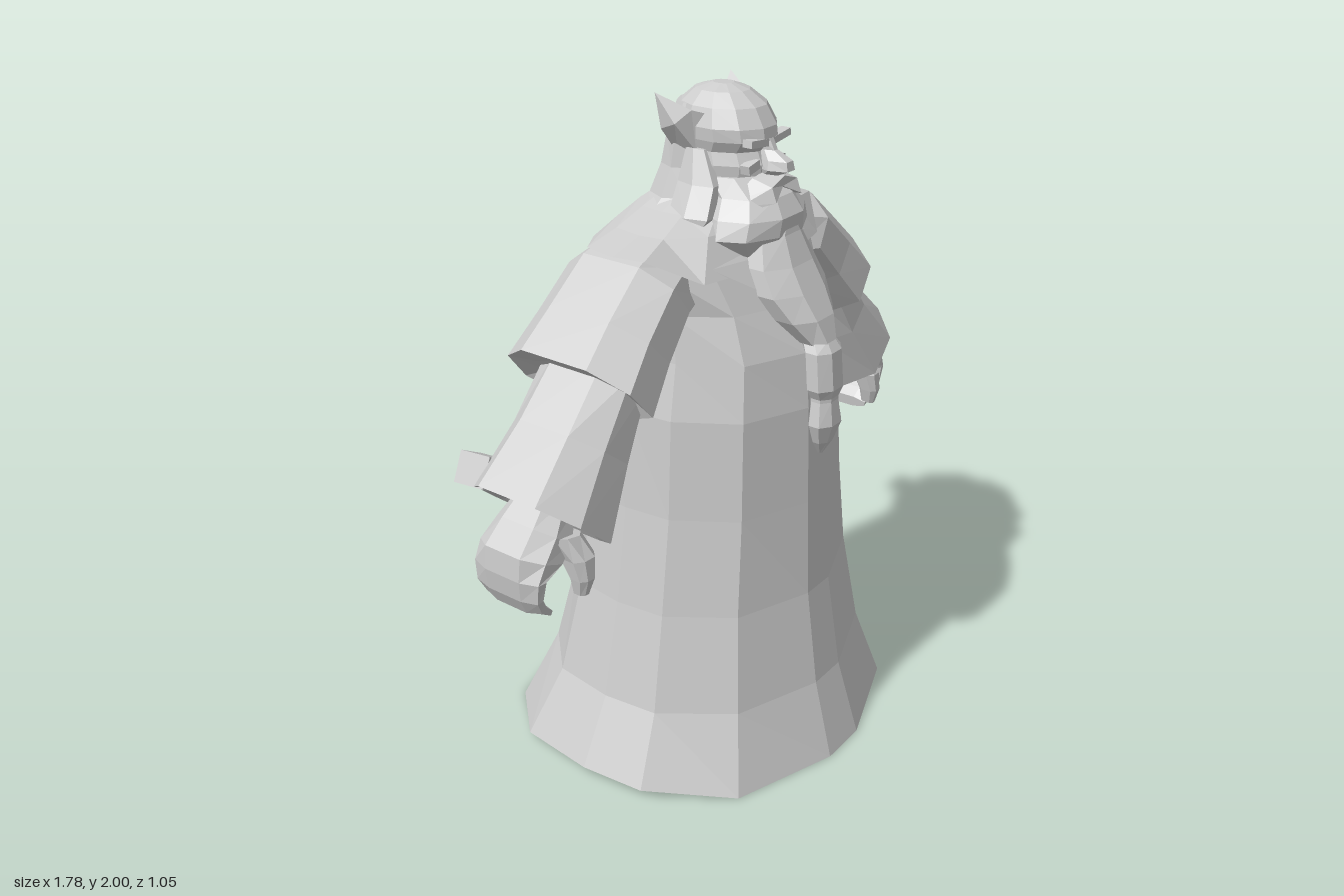
import * as THREE from 'three';

const grey = new THREE.MeshStandardMaterial({ color: 0xcccccc, flatShading: true, side: THREE.DoubleSide });
grey.name = 'plain grey';

// Skin a list of equal-length rings of [x, y, z]; caps are optional, faces are turned outward
function loft(name, rings, capStart = false, capEnd = false, sx = 1) {
  const n = rings[0].length;
  const pts = rings.flat().map(([x, y, z]) => new THREE.Vector3(x * sx, y, z));
  const centre = pts.reduce((a, p) => a.add(p), new THREE.Vector3()).divideScalar(pts.length);
  const index = [];
  for (let r = 0; r < rings.length - 1; r++)
    for (let i = 0; i < n; i++) {
      const a = r * n + i, b = r * n + (i + 1) % n;
      index.push(a, b, a + n, b, b + n, a + n);
    }
  const last = (rings.length - 1) * n;
  for (let i = 1; i < n - 1; i++) {
    if (capStart) index.push(0, i + 1, i);
    if (capEnd) index.push(last, last + i, last + i + 1);
  }
  let volume = 0;
  for (let i = 0; i < index.length; i += 3) {
    const [a, b, c] = [0, 1, 2].map(k => pts[index[i + k]].clone().sub(centre));
    volume += a.dot(b.cross(c));
  }
  if (volume < 0) index.reverse();
  const geo = new THREE.BufferGeometry().setFromPoints(pts);
  geo.setIndex(index);
  const flat = geo.toNonIndexed();
  flat.computeVertexNormals();
  const mesh = new THREE.Mesh(flat, grey);
  mesh.name = name;
  return mesh;
}

// Horizontal oval between zf (front) and zb (back)
function oval(y, w, zf, zb, n = 10, cx = 0) {
  return Array.from({ length: n }, (_, i) => {
    const a = (i + 0.5) / n * Math.PI * 2;
    const k = 1 / Math.cos(Math.PI / n);
    return [cx + w * Math.sin(a) * (n % 4 ? 1 : k), y, (zf + zb) / 2 + (zf - zb) / 2 * Math.cos(a) * k];
  });
}
const ovals = (rows, n) => rows.map(r => oval(...r, n));

// Robe outline: flat front and back with angled corners
const half = [[0.13, 1], [0.67, 0.78], [0.96, 0.34], [1, -0.04], [0.95, -0.51], [0.67, -0.85], [0.13, -1]];
const outline = [...half, ...half.slice().reverse().map(([x, z]) => [-x, z])];
const robeRing = (y, w, zf, zb, dip = () => 0) =>
  outline.map(([x, z]) => [x * w, y + dip(x, z), z * (z > 0 ? zf : zb)]);

// Eight-sided section for arms and hands, from an upper to a lower point
function section([tx, ty, bx, by, zf, zb]) {
  const m = (zf + zb) / 2, h = (zf - zb) / 2;
  return [[0, 0.5], [0.3, 0.95], [0.75, 1], [1, 0.55], [1, -0.55], [0.75, -1], [0.3, -0.95], [0, -0.5]]
    .map(([s, z]) => [tx + (bx - tx) * s, ty + (by - ty) * s, m + h * z]);
}

function box(name, w, h, d, x, y, z, rz = 0, rx = 0) {
  const mesh = new THREE.Mesh(new THREE.BoxGeometry(w, h, d), grey);
  mesh.position.set(x, y, z);
  mesh.rotation.set(rx, 0, rz);
  mesh.name = name;
  return mesh;
}

export function createModel() {
  const model = new THREE.Group();
  model.name = 'beardedRobedFigure';

  // Robe, open at the hem, with the sides of the hem slightly raised
  model.add(loft('robe', [
    robeRing(0, 0.6, 0.525, 0.53, x => 0.035 * Math.max(0, Math.abs(x) - 0.67) / 0.33),
    robeRing(0.24, 0.495, 0.455, 0.415), robeRing(0.54, 0.43, 0.41, 0.34),
    robeRing(0.84, 0.385, 0.395, 0.30), robeRing(1.14, 0.365, 0.385, 0.26),
    robeRing(1.30, 0.33, 0.365, 0.24), robeRing(1.43, 0.315, 0.31, 0.228),
    robeRing(1.56, 0.35, 0.235, 0.20), robeRing(1.64, 0.28, 0.17, 0.17),
    robeRing(1.69, 0.16, 0.13, 0.13),
  ]));

  // Shoulder mantle
  model.add(loft('shoulderMantle', [
    robeRing(1.56, 0.41, 0.245, 0.225, (x, z) => Math.abs(x) > 0.9 ? 0.045 : z > 0 ? -0.03 : 0.03),
    robeRing(1.635, 0.30, 0.19, 0.195), robeRing(1.675, 0.20, 0.16, 0.165),
    robeRing(1.71, 0.13, 0.11, 0.12),
  ]));

  // Head, and the hair falling behind it
  model.add(loft('head', ovals([
    [1.62, 0.13, 0.12, -0.1], [1.74, 0.105, 0.19, -0.08], [1.80, 0.11, 0.2, -0.08],
    [1.835, 0.105, 0.185, -0.085], [1.865, 0.115, 0.21, -0.085], [1.90, 0.118, 0.205, -0.085],
    [1.95, 0.1, 0.175, -0.07], [1.985, 0.066, 0.125, -0.03], [2.0, 0.025, 0.08, 0.02],
  ], 12), false, true));
  model.add(loft('hair', ovals([
    [1.64, 0.215, 0.07, -0.18], [1.70, 0.165, 0.07, -0.145], [1.78, 0.135, 0.06, -0.115],
    [1.87, 0.122, 0.05, -0.095], [1.95, 0.09, 0.04, -0.075],
  ], 10), false, true));

  // Nose
  model.add(loft('nose', ovals([
    [1.775, 0.025, 0.24, 0.17], [1.79, 0.036, 0.275, 0.17], [1.815, 0.03, 0.27, 0.17],
    [1.84, 0.016, 0.225, 0.17], [1.87, 0.018, 0.21, 0.17],
  ], 6), true, true));

  // Beard, narrowing into a braid with a pointed tuft
  model.add(loft('upperBeard', ovals([
    [1.77, 0.115, 0.19, 0], [1.72, 0.125, 0.255, 0.02], [1.67, 0.165, 0.285, 0.02],
    [1.62, 0.185, 0.28, 0.04], [1.57, 0.14, 0.25, 0.08], [1.53, 0.09, 0.21, 0.1],
  ], 10), true, true));
  model.add(loft('lowerBeard', ovals([
    [1.68, 0.03, 0.27, 0.15], [1.62, 0.09, 0.285, 0.15], [1.54, 0.12, 0.32, 0.16],
    [1.47, 0.128, 0.36, 0.2], [1.40, 0.1, 0.4, 0.26], [1.33, 0.05, 0.425, 0.32],
  ], 8), true, true));
  model.add(loft('braid', ovals([
    [1.34, 0.045, 0.42, 0.33], [1.31, 0.06, 0.44, 0.35], [1.20, 0.062, 0.45, 0.36],
    [1.17, 0.045, 0.44, 0.37], [1.16, 0.045, 0.44, 0.37], [1.09, 0.058, 0.45, 0.37],
    [1.03, 0.036, 0.43, 0.38], [0.985, 0.006, 0.405, 0.39],
  ], 8), true, true));

  for (const s of [1, -1]) {
    const side = s > 0 ? 'left' : 'right';
    const add = (part, rings, a = true, b = true) => model.add(loft(side + part, rings, a, b, s));
    const arm = (part, rows) => add(part, rows.map(section));

    // Brow, eyelid, moustache and side lock
    model.add(box(side + 'Brow', 0.08, 0.02, 0.03, s * 0.052, 1.865, 0.195, s * 0.12));
    model.add(box(side + 'Cheek', 0.05, 0.025, 0.03, s * 0.06, 1.80, 0.183, -s * 0.2));
    add('Moustache', [
      [[0, 1.785, 0.2], [0, 1.775, 0.255], [0, 1.745, 0.25], [0, 1.745, 0.2]],
      [[0.06, 1.77, 0.19], [0.06, 1.755, 0.255], [0.06, 1.715, 0.27], [0.06, 1.71, 0.2]],
      [[0.115, 1.71, 0.16], [0.115, 1.705, 0.19], [0.11, 1.69, 0.2], [0.11, 1.69, 0.16]],
    ]);
    add('SideLock', [oval(1.84, 0.015, 0.07, 0.01, 6, 0.108), oval(1.75, 0.03, 0.12, 0, 6, 0.125),
      oval(1.67, 0.035, 0.13, 0, 6, 0.165), oval(1.6, 0.006, 0.09, 0.06, 6, 0.19)]);

    // Pointed ear
    add('Ear', [
      [[0.09, 1.93, 0.08], [0.11, 1.83, 0.04], [0.10, 1.81, -0.03], [0.08, 1.93, -0.03]],
      [[0.13, 1.945, 0.04], [0.165, 1.91, 0.01], [0.16, 1.89, -0.04], [0.12, 1.94, -0.04]],
      Array(4).fill([0.172, 1.988, -0.05]),
    ]);

    // Layered sleeves; the last row of each folds back inside the cuff
    arm('UpperSleeve', [
      [0.30, 1.63, 0.20, 1.42, 0.14, -0.18], [0.41, 1.595, 0.29, 1.42, 0.175, -0.205],
      [0.54, 1.485, 0.38, 1.31, 0.185, -0.22], [0.645, 1.39, 0.475, 1.19, 0.205, -0.245],
      [0.59, 1.35, 0.49, 1.25, 0.14, -0.17],
    ]);
    arm('LowerSleeve', [
      [0.55, 1.37, 0.43, 1.26, 0.14, -0.17], [0.70, 1.22, 0.52, 1.07, 0.155, -0.18],
      [0.85, 1.08, 0.62, 0.88, 0.185, -0.215], [0.77, 1.04, 0.67, 0.96, 0.1, -0.12],
    ]);
    model.add(box(side + 'CuffTab', 0.08, 0.09, 0.11, s * 0.72, 1.03, -0.235, s * 0.5, -0.1));

    // Curled hand with a separate thumb
    arm('Hand', [
      [0.75, 1.07, 0.67, 0.99, 0.08, -0.08], [0.83, 1.0, 0.72, 0.92, 0.11, -0.11],
      [0.885, 0.935, 0.76, 0.885, 0.115, -0.13], [0.89, 0.865, 0.835, 0.87, 0.11, -0.13],
      [0.88, 0.80, 0.845, 0.815, 0.1, -0.13], [0.855, 0.75, 0.825, 0.785, 0.09, -0.125],
      [0.805, 0.718, 0.80, 0.755, 0.08, -0.115],
    ]);
    arm('Thumb', [
      [0.80, 0.97, 0.70, 0.95, 0.12, 0.03], [0.775, 0.90, 0.695, 0.90, 0.16, 0.07],
      [0.765, 0.84, 0.71, 0.84, 0.165, 0.1], [0.755, 0.79, 0.725, 0.79, 0.15, 0.105],
    ]);

    // Leg and boot beneath the robe
    add('Leg', [oval(0.1, 0.075, 0.02, -0.15, 8, 0.17), oval(0.3, 0.08, 0.04, -0.14, 8, 0.16),
      oval(0.65, 0.1, 0.1, -0.12, 8, 0.14)]);
    const sole = [[-0.06, -0.18], [0.06, -0.18], [0.08, -0.08], [0.065, 0.02], [0.11, 0.17],
      [0.07, 0.27], [0, 0.28], [-0.06, 0.18], [-0.07, 0]];
    const bootRing = (y, k, slope) => sole.map(([x, z]) =>
      [0.18 + x * k + z * 0.15, y - slope * Math.max(0, z + 0.02), z * k - 0.04 * (1 - k)]);
    add('Boot', [bootRing(0, 1, 0), bootRing(0.05, 1, 0), bootRing(0.14, 0.8, 0.25), bootRing(0.18, 0.5, 0.3)]);
  }
  return model;
}
